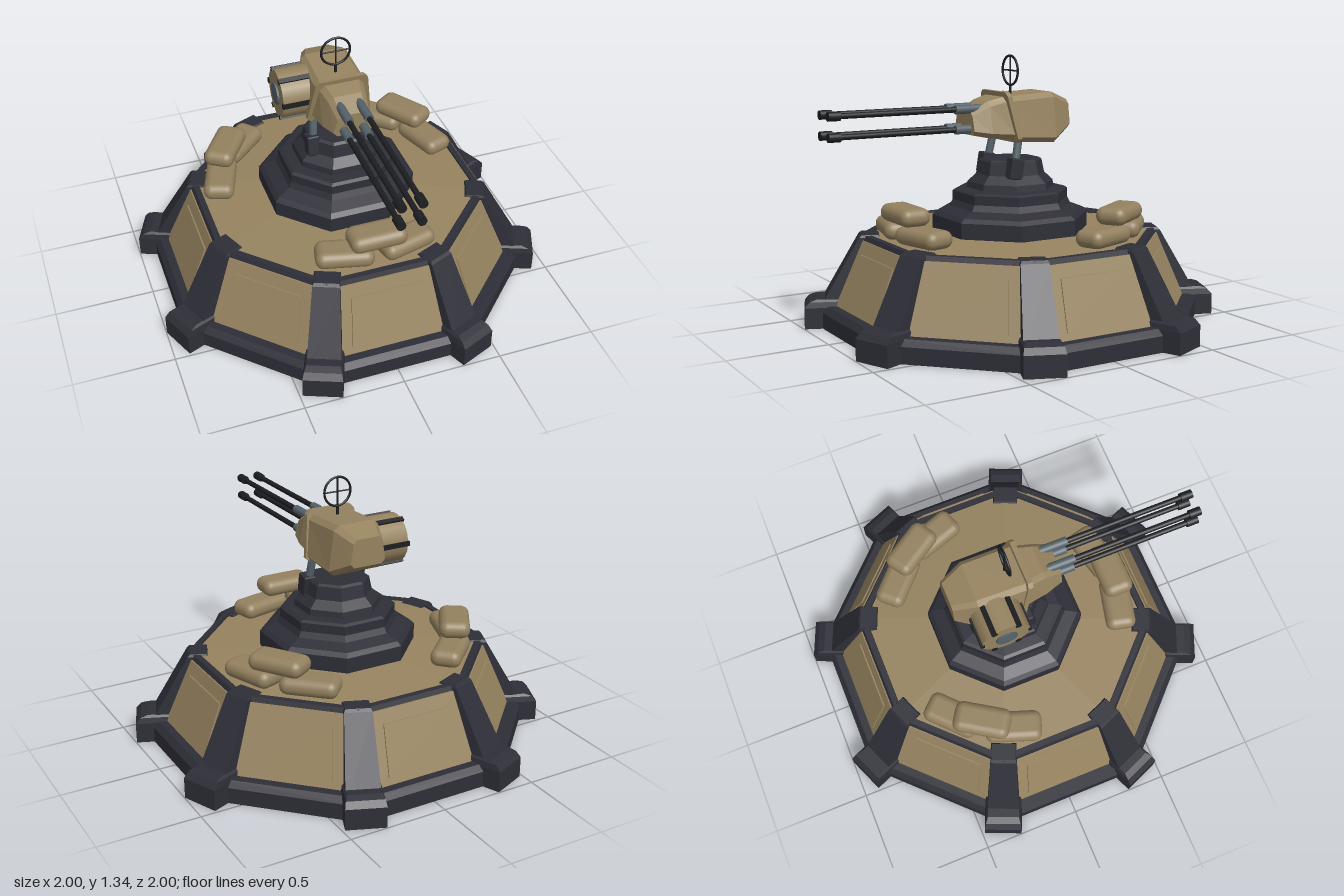
import * as THREE from 'three';
import { RoundedBoxGeometry } from 'three/addons/geometries/RoundedBoxGeometry.js';

const mat = (name, color) => {
  const m = new THREE.MeshStandardMaterial({ color });
  m.name = name;
  return m;
};
const V = (x, y, z) => new THREE.Vector3(x, y, z);

// Faceted normals
function flat(geo) {
  const g = geo.index ? geo.toNonIndexed() : geo;
  g.computeVertexNormals();
  return g;
}

// Closed skin through rings that run counter-clockwise about the direction of travel
function loft(rings) {
  const p = [];
  const tri = (...vs) => vs.forEach((v) => p.push(v.x, v.y, v.z));
  const n = rings[0].length;
  for (let k = 0; k + 1 < rings.length; k++) {
    const a = rings[k], b = rings[k + 1];
    for (let i = 0; i < n; i++) {
      const j = (i + 1) % n;
      tri(a[i], a[j], b[j]);
      tri(a[i], b[j], b[i]);
    }
  }
  const s = rings[0], e = rings[rings.length - 1];
  for (let i = 1; i + 1 < n; i++) {
    tri(s[0], s[i + 1], s[i]);
    tri(e[0], e[i], e[i + 1]);
  }
  const g = new THREE.BufferGeometry();
  g.setAttribute('position', new THREE.Float32BufferAttribute(p, 3));
  g.computeVertexNormals();
  return g;
}

// Level rectangle: half width w, inner and outer distance from the centre
const rect = (y, w, zi, zo) => [V(-w, y, zo), V(w, y, zo), V(w, y, zi), V(-w, y, zi)];

// Octagonal solid of revolution, radii given to the flat sides
function octagon(profile) {
  const pts = profile.map(([r, y]) => new THREE.Vector2(r / Math.cos(Math.PI / 8), y));
  return flat(new THREE.LatheGeometry(pts, 8, Math.PI / 8));
}

// Upright chamfered trapezoid for the gun housing, optionally tilted
function housing(z, wb, wt, y0, y1, c, tilt = 0) {
  return [[-wb + c, y0], [wb - c, y0], [wb, y0 + c], [wt, y1 - c], [wt - c, y1],
    [-wt + c, y1], [-wt, y1 - c], [-wb, y0 + c]].map(([x, y]) => V(x, y, z + tilt * (y - 1.03)));
}

export function createModel() {
  const model = new THREE.Group();
  model.name = 'gunEmplacement';
  const tan = mat('tan armour', 0x96835f);
  const dark = mat('dark frame', 0x2e2e38);
  const black = mat('gunmetal black', 0x1c1e21);
  const steel = mat('steel', 0x56636b);
  const cloth = mat('sandbag cloth', 0x93815f);

  const add = (name, geo, material, parent = model) => {
    const m = new THREE.Mesh(geo, material);
    m.name = name;
    parent.add(m);
    return m;
  };
  const rod = (name, r, from, to, material, parent = model, sides = 12) => {
    const d = to.clone().sub(from);
    const m = add(name, new THREE.CylinderGeometry(r, r, d.length(), sides), material, parent);
    m.position.copy(from).addScaledVector(d, 0.5);
    m.quaternion.setFromUnitVectors(V(0, 1, 0), d.normalize());
    return m;
  };

  // Bunker body with curb and rim, and the gently raised deck
  add('bunkerBody', octagon([[0, 0], [0.915, 0], [0.915, 0.08], [0.89, 0.11], [0.845, 0.11],
    [0.7, 0.455], [0.67, 0.455], [0.665, 0.43], [0, 0.43]]), dark);
  add('deck', octagon([[0.668, 0.446], [0, 0.492]]), tan);

  // Sloped wall panels, each with a raised inner plate
  const wallZ = (y) => 0.845 - (0.145 * (y - 0.11)) / 0.345;
  const plate = (y0, y1, w0, w1, out) => loft([
    rect(y0, w0, wallZ(y0) - 0.02, wallZ(y0) + out),
    rect(y1, w1, wallZ(y1) - 0.02, wallZ(y1) + out)]);
  const panel = plate(0.112, 0.432, 0.29, 0.255, 0.006);
  const inset = plate(0.145, 0.372, 0.205, 0.18, 0.013);
  // Corner pillars and feet
  const pillar = loft([rect(0.08, 0.085, 0.78, 0.975), rect(0.445, 0.066, 0.66, 0.765),
    rect(0.458, 0.06, 0.67, 0.752)]);
  const foot = loft([rect(0, 0.096, 0.8, 1.04), rect(0.105, 0.096, 0.8, 1.04),
    rect(0.133, 0.09, 0.81, 1.015), rect(0.145, 0.08, 0.82, 0.98)]);
  for (let i = 0; i < 8; i++) {
    const side = new THREE.Group();
    side.name = 'wallSide';
    side.rotation.y = (i * Math.PI) / 4;
    add('wallPanel', panel, tan, side);
    add('insetPlate', inset, tan, side);
    const corner = new THREE.Group();
    corner.name = 'wallCorner';
    corner.rotation.y = ((i + 0.5) * Math.PI) / 4;
    add('pillar', pillar, dark, corner);
    add('foot', foot, dark, corner);
    model.add(side, corner);
  }

  // Three stacks of sandbags
  const bag = new RoundedBoxGeometry(0.285, 0.088, 0.155, 3, 0.042);
  for (const deg of [0, 123, -123]) {
    const stack = new THREE.Group();
    stack.name = 'sandbagStack';
    stack.rotation.y = THREE.MathUtils.degToRad(deg);
    for (const s of [-1, 1]) {
      const b = add('lowerSandbag', bag, cloth, stack);
      b.position.set(s * 0.155, 0.5, 0.57);
      b.rotation.y = s * 0.24;
    }
    add('upperSandbag', bag, cloth, stack).position.set(0, 0.588, 0.59);
    model.add(stack);
  }

  // Stepped pedestal
  add('pedestal', octagon([[0.365, 0.46], [0.365, 0.545], [0.345, 0.565], [0.285, 0.59],
    [0.27, 0.62], [0.27, 0.665], [0.255, 0.675], [0.205, 0.68], [0.2, 0.71], [0.16, 0.75],
    [0.148, 0.815], [0.135, 0.825], [0, 0.825]]), dark);

  // Yoke brackets and leaning posts
  for (const s of [-1, 1]) {
    const b = add('yokeBracket', new RoundedBoxGeometry(0.064, 0.105, 0.07, 1, 0.008), dark);
    b.position.set(s * 0.143, 0.788, 0.06);
    b.rotation.x = -0.17;
    rod('yokePost', 0.02, V(s * 0.138, 0.78, 0.058), V(s * 0.122, 0.97, 0.02), steel);
  }

  // Gun housing: rear shell, slanted collar and tapering nose
  add('housingShell', loft([
    housing(-0.295, 0.095, 0.08, 0.97, 1.11, 0.02),
    housing(-0.18, 0.15, 0.122, 0.905, 1.155, 0.025),
    housing(0.055, 0.155, 0.125, 0.918, 1.142, 0.025, 0.15)]), tan);
  add('housingCollar', loft([
    housing(0.045, 0.163, 0.133, 0.915, 1.163, 0.02, 0.2),
    housing(0.07, 0.163, 0.133, 0.915, 1.163, 0.02, 0.2)]), tan);
  add('housingNose', loft([
    housing(0.06, 0.142, 0.112, 0.93, 1.142, 0.025, 0.2),
    housing(0.17, 0.125, 0.095, 0.94, 1.12, 0.025),
    housing(0.26, 0.1, 0.08, 0.958, 1.07, 0.02)]), tan);

  // Four barrels
  for (const x of [-0.049, 0.049]) {
    for (const y of [0.987, 1.085]) {
      rod('barrelSleeve', 0.022, V(x, y, 0.15), V(x, y, 0.34), steel);
      rod('barrel', 0.0135, V(x, y, 0.3), V(x, y, 0.98), black);
      rod('muzzle', 0.022, V(x, y, 0.94), V(x, y, 1), black);
    }
  }

  // Ammunition drum with clips and hub
  const drum = new THREE.Group();
  drum.name = 'ammoDrum';
  drum.position.set(0, 1.015, -0.1);
  rod('drumBody', 0.123, V(-0.272, 0, 0), V(-0.1, 0, 0), tan, drum, 18);
  rod('drumHub', 0.055, V(-0.282, 0, 0), V(-0.26, 0, 0), steel, drum, 12);
  for (let i = 0; i < 6; i++) {
    const a = (i * Math.PI) / 3;
    const clip = add('drumClip', new THREE.BoxGeometry(0.155, 0.02, 0.024), black, drum);
    clip.position.set(-0.2, Math.cos(a + Math.PI / 2) * 0.121, Math.sin(a + Math.PI / 2) * 0.121);
    clip.rotation.x = a + Math.PI / 2;
  }
  model.add(drum);

  // Ring sight
  const ring = add('sightRing', new THREE.TorusGeometry(0.073, 0.006, 8, 32), black);
  ring.position.set(0, 1.262, 0);
  rod('sightPost', 0.007, V(0, 1.13, 0), V(0, 1.19, 0), black, model, 8);
  rod('sightCrossUpright', 0.004, V(0, 1.19, 0), V(0, 1.334, 0), black, model, 8);
  rod('sightCrossLevel', 0.004, V(-0.072, 1.262, 0), V(0.072, 1.262, 0), black, model, 8);

  return model;
}
